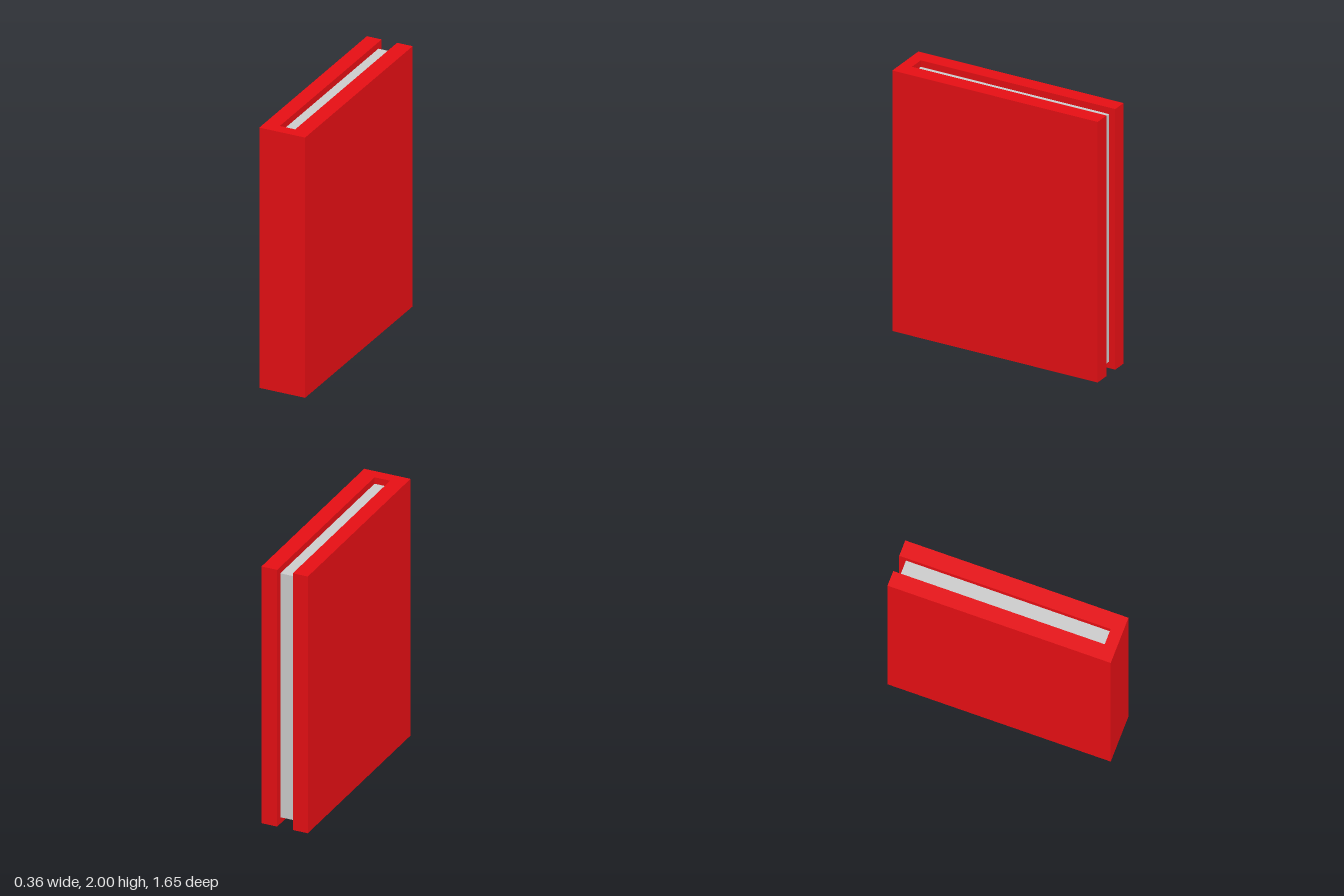
import * as THREE from 'three';

export function createModel() {
  const group = new THREE.Group();
  group.name = 'book';
  const red = new THREE.MeshStandardMaterial({ color: 0xe60f14 });
  const grey = new THREE.MeshStandardMaterial({ color: 0xcccccc });

  const height = 2, halfWidth = 0.178, halfDepth = 0.825;
  const innerRight = -0.063, innerLeft = 0.057, spineInner = 0.738;
  const inset = 0.05; // pages sit back from the cover edges

  // Cover: both boards and the spine as one U-shaped section, open at the back
  const section = new THREE.Shape([
    [-halfWidth, -halfDepth], [halfWidth, -halfDepth],
    [halfWidth, halfDepth], [innerLeft, halfDepth],
    [innerLeft, -spineInner], [innerRight, -spineInner],
    [innerRight, halfDepth], [-halfWidth, halfDepth],
  ].map(([x, y]) => new THREE.Vector2(x, y)));
  const coverGeometry = new THREE.ExtrudeGeometry(section, { depth: height, bevelEnabled: false });
  coverGeometry.rotateX(-Math.PI / 2);
  const cover = new THREE.Mesh(coverGeometry, red);
  cover.name = 'cover';
  group.add(cover);

  // Page block, filling the gap between the boards
  const pagesBack = -halfDepth + inset;
  const pages = new THREE.Mesh(
    new THREE.BoxGeometry(innerLeft - innerRight, height - 2 * inset, spineInner - pagesBack), grey);
  pages.name = 'pages';
  pages.position.set((innerLeft + innerRight) / 2, height / 2, (spineInner + pagesBack) / 2);
  group.add(pages);

  return group;
}
